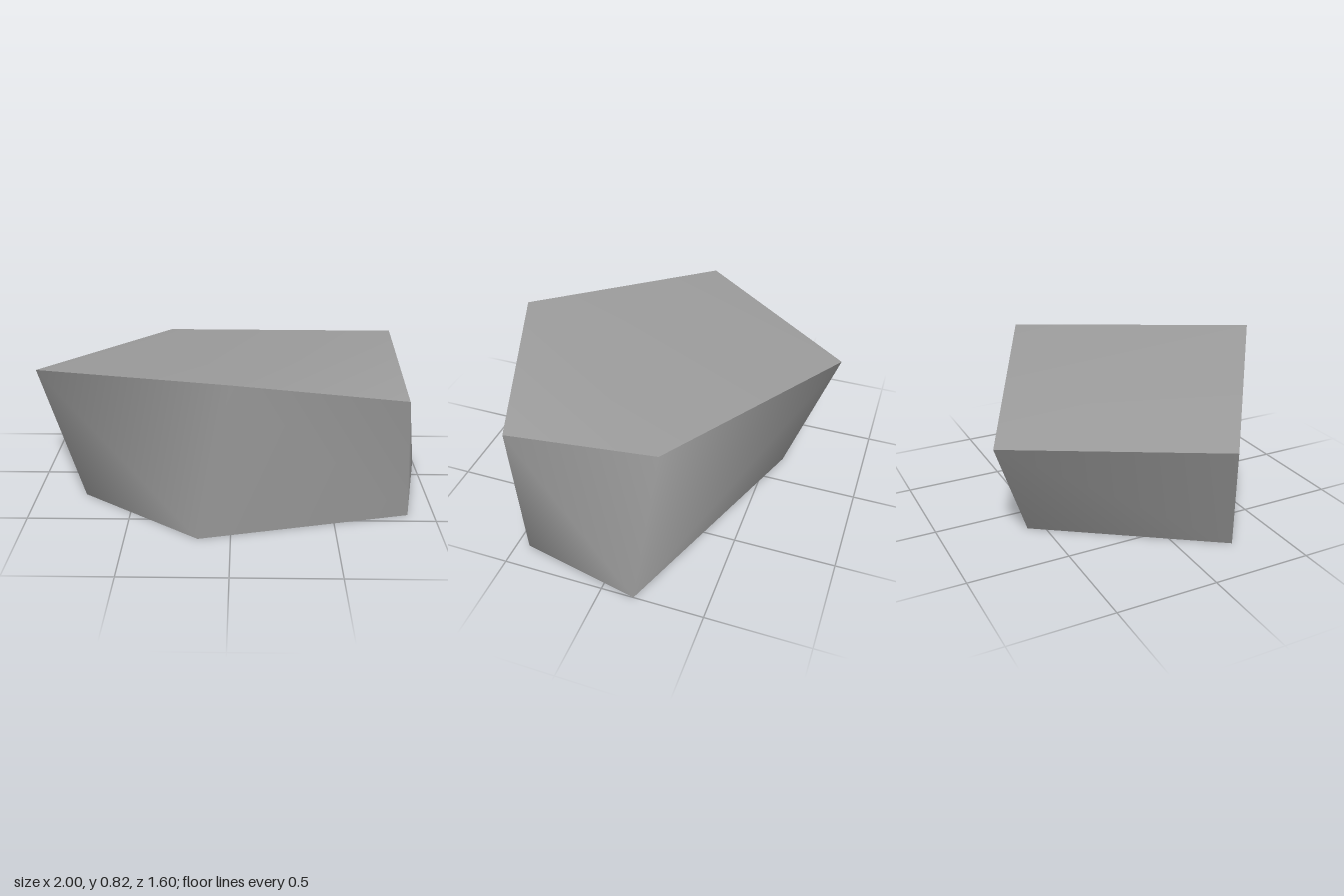
import * as THREE from 'three';

// Matching corners of the top and bottom outlines, anticlockwise from above
const topRing = [
  [-1, 0.62, 0.08], [0, 0.82, 0.8], [0.82, 0.64, 0.53], [0.83, 0.74, -0.23], [-0.38, 0.565, -0.8],
];
const baseRing = [
  [-0.75, 0, 0.25], [-0.155, 0, 0.68], [0.87, 0, 0.44], [1, 0, -0.16], [-0.17, 0, -0.58],
];
// Sides whose diagonal rises to the far corner rather than the near one
const risingSides = [3];

export function createModel() {
  const stone = new THREE.MeshStandardMaterial({ color: 0x9c9c9c });
  stone.name = 'grey stone';
  const rock = new THREE.Group();
  rock.name = 'rock';

  // Each surface is smooth in itself and sharp where it meets the others
  const addSurface = (name, points, index) => {
    const geometry = new THREE.BufferGeometry();
    geometry.setAttribute('position', new THREE.Float32BufferAttribute(points.flat(), 3));
    geometry.setIndex(index);
    geometry.computeVertexNormals();
    const mesh = new THREE.Mesh(geometry, stone);
    mesh.name = name;
    rock.add(mesh);
  };

  // Sloping top with one chipped corner
  addSurface('rockTop', topRing, [1, 2, 3, 1, 3, 4, 0, 1, 4]);

  // Flat underside
  addSurface('rockBase', baseRing, [0, 2, 1, 0, 3, 2, 0, 4, 3]);

  // Rounded band of sides between the two outlines
  const n = topRing.length;
  const sides = [];
  for (let i = 0; i < n; i++) {
    const j = (i + 1) % n;
    if (risingSides.includes(i)) sides.push(i, j, n + j, i, n + j, n + i);
    else sides.push(i, j, n + i, j, n + j, n + i);
  }
  addSurface('rockSides', [...baseRing, ...topRing], sides);

  return rock;
}
